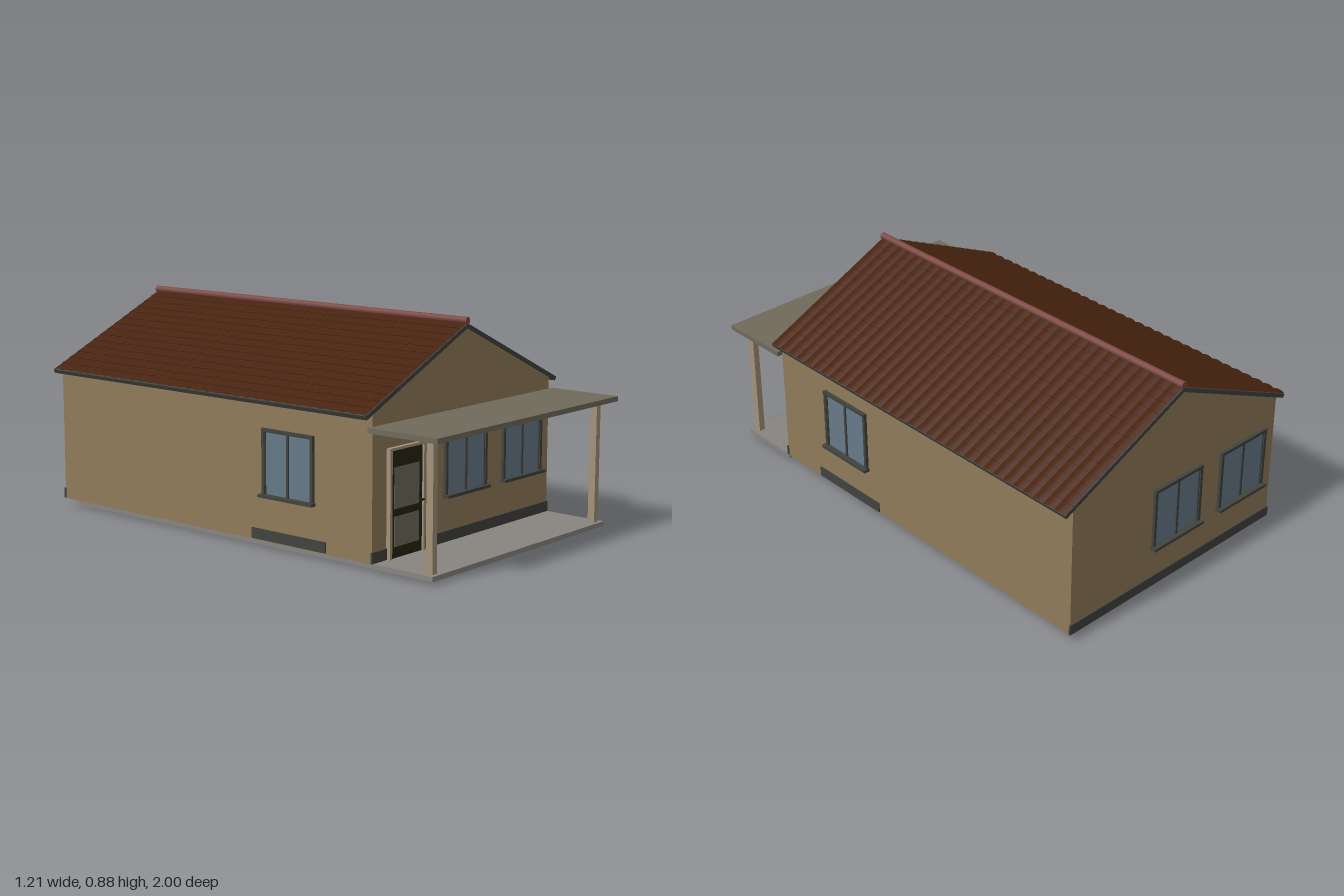
import * as THREE from 'three';

const mat = (name, color, extra = {}) => new THREE.MeshStandardMaterial({ name, color, ...extra });
const M = {
  wall: mat('ochre wall', 0x8f7b59),
  roof: mat('brown tile', 0x48230f),
  ridge: mat('red ridge', 0x7c4742),
  trim: mat('charcoal trim', 0x41433f),
  glass: mat('blue glass', 0x667a88),
  canopy: mat('olive grey', 0x6f6a5a),
  post: mat('beige wood', 0xa39279),
  slab: mat('grey concrete', 0x888581),
  door: mat('dark door', 0x25240f),
};
const FRONT = 0.69, BACK = -0.97, HALF = 0.555;

// Box given by its limits on each axis
function box(parent, name, material, [x0, x1], [y0, y1], [z0, z1]) {
  const mesh = new THREE.Mesh(new THREE.BoxGeometry(x1 - x0, y1 - y0, z1 - z0), material);
  mesh.position.set((x0 + x1) / 2, (y0 + y1) / 2, (z0 + z1) / 2);
  mesh.name = name;
  parent.add(mesh);
  return mesh;
}

// Outline in x/y extruded between two z values
function prism(parent, name, material, points, z0, z1) {
  const shape = new THREE.Shape(points.map(([x, y]) => new THREE.Vector2(x, y)));
  const geo = new THREE.ExtrudeGeometry(shape, { depth: z1 - z0, bevelEnabled: false });
  geo.translate(0, 0, z0);
  const mesh = new THREE.Mesh(geo, material);
  mesh.name = name;
  parent.add(mesh);
}

// Two-pane window facing +z, its back on z = 0
function makeWindow(w) {
  const g = new THREE.Group(), h = w / 2, y0 = 0.208, y1 = 0.468, t = 0.013;
  g.name = 'window';
  for (const s of [-1, 1]) {
    const x = s * (h - t / 2);
    box(g, 'frameSide', M.trim, [x - t / 2, x + t / 2], [y0, y1], [0, 0.012]);
    // Thin sash edge beside each pane
    const e = s * (h - t - 0.002);
    box(g, 'sashEdge', M.trim, [e - 0.002, e + 0.002], [y0, y1 - t], [0, 0.008]);
  }
  box(g, 'frameTop', M.trim, [-h, h], [y1 - t, y1], [0, 0.014]);
  box(g, 'glass', M.glass, [-h + t, h - t], [y0, y1 - t], [0, 0.004]);
  box(g, 'mullion', M.trim, [-0.005, 0.005], [y0, y1 - t], [0, 0.009]);
  box(g, 'sill', M.trim, [-h - 0.006, h + 0.006], [0.204, 0.216], [0, 0.027]);
  return g;
}

// Roof slope covered in rounded tile columns with stepped courses
function makeTiles(z0, z1) {
  const courses = 14, columns = 32, sub = 6;
  const nx = columns * sub, ny = courses * 2 - 1;
  const base = new THREE.PlaneGeometry(1, 1, nx, ny);
  const p = base.attributes.position;
  const slope = Math.atan2(0.274, 0.6);
  for (let i = 0; i < p.count; i++) {
    const col = i % (nx + 1), row = Math.floor(i / (nx + 1));
    const s = (Math.floor(row / 2) + row % 2) / courses;
    const lift = 0.001 + (row % 2) * 0.002 + 0.005 * Math.abs(Math.sin(Math.PI * col / sub));
    p.setXYZ(i,
      0.6 * s + Math.sin(slope) * lift,
      0.853 - 0.274 * s + Math.cos(slope) * lift,
      z1 + (z0 - z1) * col / nx);
  }
  const geo = base.toNonIndexed();
  geo.computeVertexNormals();
  return geo;
}

export function createModel() {
  const house = new THREE.Group();
  house.name = 'house';

  // Foundation and gabled walls
  box(house, 'foundation', M.slab, [-0.516, 0.516], [0, 0.031], [-0.93, 0.655]);
  prism(house, 'walls', M.wall,
    [[-HALF, 0.03], [HALF, 0.03], [HALF, 0.583], [0, 0.836], [-HALF, 0.583]], BACK, FRONT);

  // Roof deck with dark edges
  const r0 = BACK - 0.005, r1 = FRONT + 0.005, mid = (r0 + r1) / 2;
  prism(house, 'roofDeck', M.trim,
    [[0, 0.853], [-0.6, 0.579], [-0.593, 0.564], [0, 0.835], [0.593, 0.564], [0.6, 0.579]], r0, r1);

  // Tiles on both slopes and the ridge cap
  const tiles = makeTiles(r0 + 0.003 - mid, r1 - 0.003 - mid);
  for (const turn of [0, Math.PI]) {
    const side = new THREE.Mesh(tiles, M.roof);
    side.name = 'roofTiles';
    side.rotation.y = turn;
    side.position.z = mid;
    house.add(side);
  }
  const ridge = new THREE.Mesh(new THREE.CylinderGeometry(0.014, 0.014, r1 - r0, 14), M.ridge);
  ridge.name = 'ridgeCap';
  ridge.rotation.x = Math.PI / 2;
  ridge.position.set(0, 0.863, mid);
  house.add(ridge);

  // Base strips: full width front and back, short ones on the sides
  box(house, 'frontPlinth', M.trim, [-0.559, 0.559], [0.032, 0.074], [FRONT - 0.003, FRONT + 0.005]);
  box(house, 'backPlinth', M.trim, [-0.559, 0.559], [0.032, 0.074], [BACK - 0.005, BACK + 0.003]);
  for (const s of [-1, 1]) {
    box(house, 'sidePlinth', M.trim, [s * 0.557 - 0.003, s * 0.557 + 0.003], [0.034, 0.076], [0.10, 0.47]);
  }

  // Windows: x, z, turn, width
  for (const [x, z, turn, w] of [
    [-0.002, FRONT, 0, 0.262], [0.368, FRONT, 0, 0.262],
    [0, BACK, Math.PI, 0.262], [-0.37, BACK, Math.PI, 0.262],
    [HALF, 0.287, Math.PI / 2, 0.255], [-HALF, 0.287, -Math.PI / 2, 0.255],
  ]) {
    const win = makeWindow(w);
    win.position.set(x, 0, z);
    win.rotation.y = turn;
    house.add(win);
  }

  // Front door with beige surround, two panels and a lever handle
  const door = new THREE.Group();
  door.name = 'door';
  door.position.z = FRONT;
  house.add(door);
  box(door, 'doorLeaf', M.door, [-0.462, -0.276], [0.032, 0.436], [0, 0.01]);
  box(door, 'jamb', M.post, [-0.474, -0.461], [0.032, 0.445], [0, 0.018]);
  box(door, 'jamb', M.post, [-0.277, -0.264], [0.032, 0.445], [0, 0.018]);
  box(door, 'doorHead', M.post, [-0.474, -0.264], [0.435, 0.445], [0, 0.018]);
  box(door, 'upperPanel', M.canopy, [-0.442, -0.297], [0.216, 0.37], [0.009, 0.012]);
  box(door, 'lowerPanel', M.canopy, [-0.442, -0.297], [0.074, 0.187], [0.009, 0.012]);
  box(door, 'handleStem', M.door, [-0.3, -0.294], [0.229, 0.235], [0.009, 0.036]);
  box(door, 'handleLever', M.door, [-0.323, -0.294], [0.229, 0.235], [0.031, 0.037]);

  // Porch: floor slab, two posts and a flat canopy
  box(house, 'porchFloor', M.slab, [-HALF, HALF], [0.013, 0.032], [FRONT - 0.002, 0.965]);
  box(house, 'porchCanopy', M.canopy, [-0.58, 0.58], [0.515, 0.535], [FRONT - 0.002, 1]);
  for (const s of [-1, 1]) {
    box(house, 'porchPost', M.post, [s * 0.522 - 0.013, s * 0.522 + 0.013], [0.032, 0.515], [0.919, 0.949]);
  }
  return house;
}
